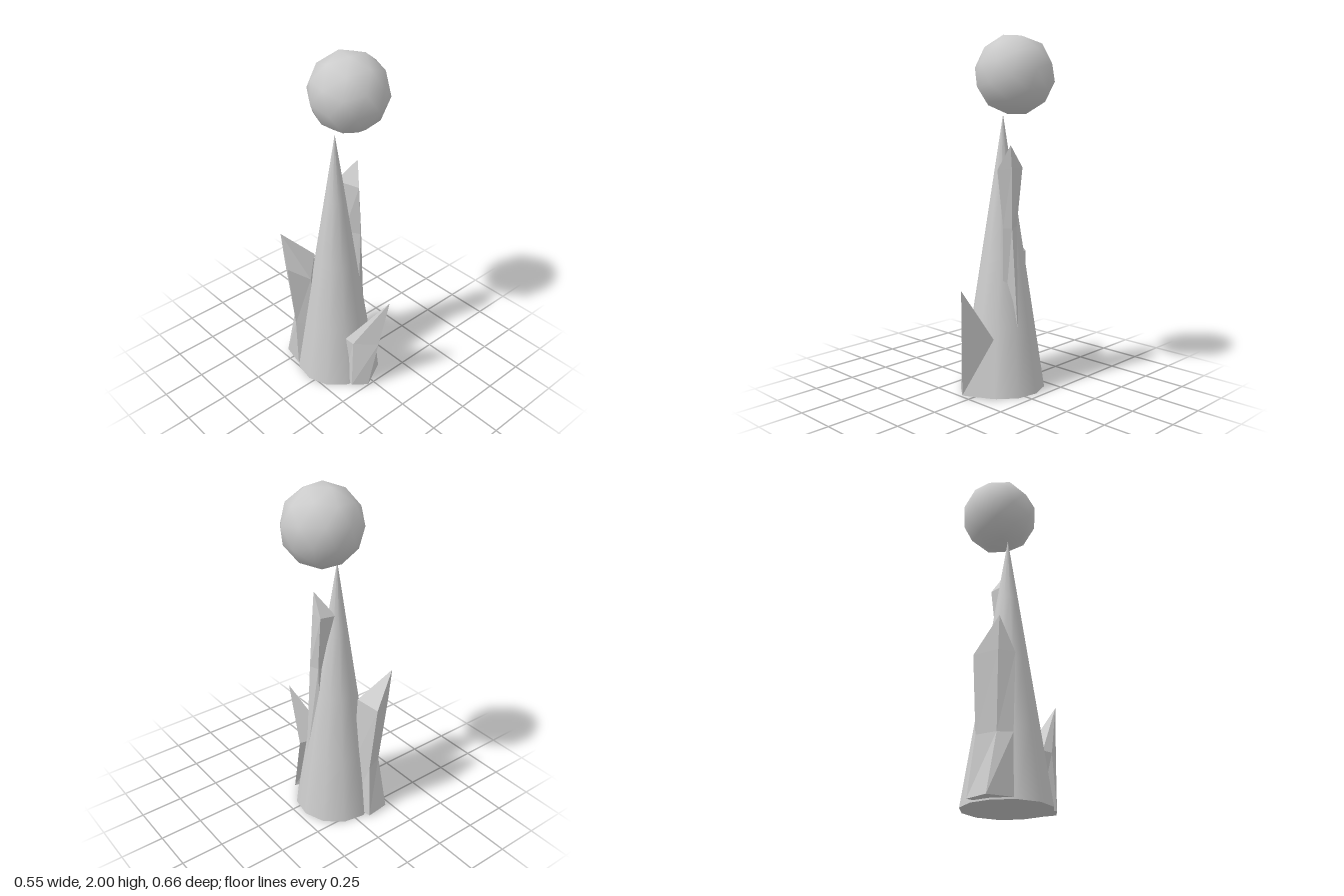
import * as THREE from 'three';

const material = new THREE.MeshStandardMaterial({ color: 0xcccccc, side: THREE.DoubleSide });

// Faceted shard: rings of corners from bottom to top (counterclockwise from above), closed by a tip
function shard(name, rings, tip) {
  const pos = [];
  const tri = (...corners) => corners.forEach((c) => pos.push(...c));
  const n = rings[0].length;
  for (let i = 0; i < n; i++) {
    const j = (i + 1) % n;
    for (let k = 0; k + 1 < rings.length; k++) {
      const lo = rings[k], hi = rings[k + 1];
      tri(lo[i], lo[j], hi[j]);
      tri(lo[i], hi[j], hi[i]);
    }
    const top = rings[rings.length - 1];
    tri(top[i], top[j], tip);
    if (i > 0 && j > 0) tri(rings[0][0], rings[0][j], rings[0][i]);
  }
  const geometry = new THREE.BufferGeometry();
  geometry.setAttribute('position', new THREE.Float32BufferAttribute(pos, 3));
  geometry.computeVertexNormals();
  const mesh = new THREE.Mesh(geometry, material);
  mesh.name = name;
  return mesh;
}

export function createModel() {
  const group = new THREE.Group();
  group.name = 'crystalSpire';

  // Tall twelve-sided spire
  const spire = new THREE.Mesh(
    new THREE.ConeGeometry(0.243, 1.57, 12, 4, false, THREE.MathUtils.degToRad(5)), material);
  spire.position.set(-0.03, 0.785, -0.057);
  spire.name = 'spire';
  group.add(spire);

  // Low shard leaning out at the front
  group.add(shard('frontShard', [
    [[-0.124, 0.01, 0.19], [-0.047, 0.01, 0.252], [0.117, 0.01, 0.168], [-0.1, 0.01, 0.1]],
    [[-0.106, 0.32, 0.18], [-0.007, 0.33, 0.291], [0.092, 0.34, 0.142], [-0.108, 0.32, 0.116]],
  ], [0.033, 0.64, 0.33]));

  // Broad shard at the back, waisted a third of the way up
  group.add(shard('backShard', [
    [[-0.05, 0.01, -0.19], [-0.074, 0.01, -0.334], [-0.212, 0.01, -0.318], [-0.24, 0.01, -0.175], [-0.14, 0.01, -0.08]],
    [[-0.06, 0.33, -0.19], [-0.09, 0.33, -0.3], [-0.2, 0.33, -0.25], [-0.245, 0.33, -0.18], [-0.14, 0.33, -0.1]],
    [[-0.08, 0.76, -0.19], [-0.106, 0.745, -0.334], [-0.238, 0.75, -0.272], [-0.278, 0.74, -0.193], [-0.163, 0.65, -0.127]],
  ], [-0.253, 0.935, -0.277]));

  // Slim high shard on the left side
  group.add(shard('sideShard', [
    [[0.06, 0.3, 0.04], [0.145, 0.3, 0.0], [0.08, 0.3, -0.06], [0.0, 0.3, -0.05]],
    [[0.07, 0.95, 0.045], [0.105, 0.95, 0.01], [0.088, 0.95, -0.045], [0.02, 0.95, -0.04]],
    [[0.04, 1.27, 0.06], [0.092, 1.28, 0.0], [0.098, 1.28, -0.08], [0.0, 1.27, -0.085]],
  ], [0.083, 1.405, 0.0]));

  // Coarse smooth orb floating above the spire
  const orb = new THREE.Mesh(new THREE.IcosahedronGeometry(0.221, 1), material);
  const phi = (1 + Math.sqrt(5)) / 2;
  orb.quaternion.setFromUnitVectors(
    new THREE.Vector3(0, phi, 1).applyAxisAngle(new THREE.Vector3(1, 0, 0), 0).normalize(),
    new THREE.Vector3(-0.04, 0.21, 0.05).normalize());
  // Pick the pole on an actual corner of the solid
  orb.quaternion.setFromUnitVectors(
    new THREE.Vector3(-1, phi, 0).normalize(),
    new THREE.Vector3(-0.04, 0.21, 0.05).normalize());
  orb.position.set(0.064, 1.785, -0.052);
  orb.name = 'orb';
  group.add(orb);

  return group;
}
